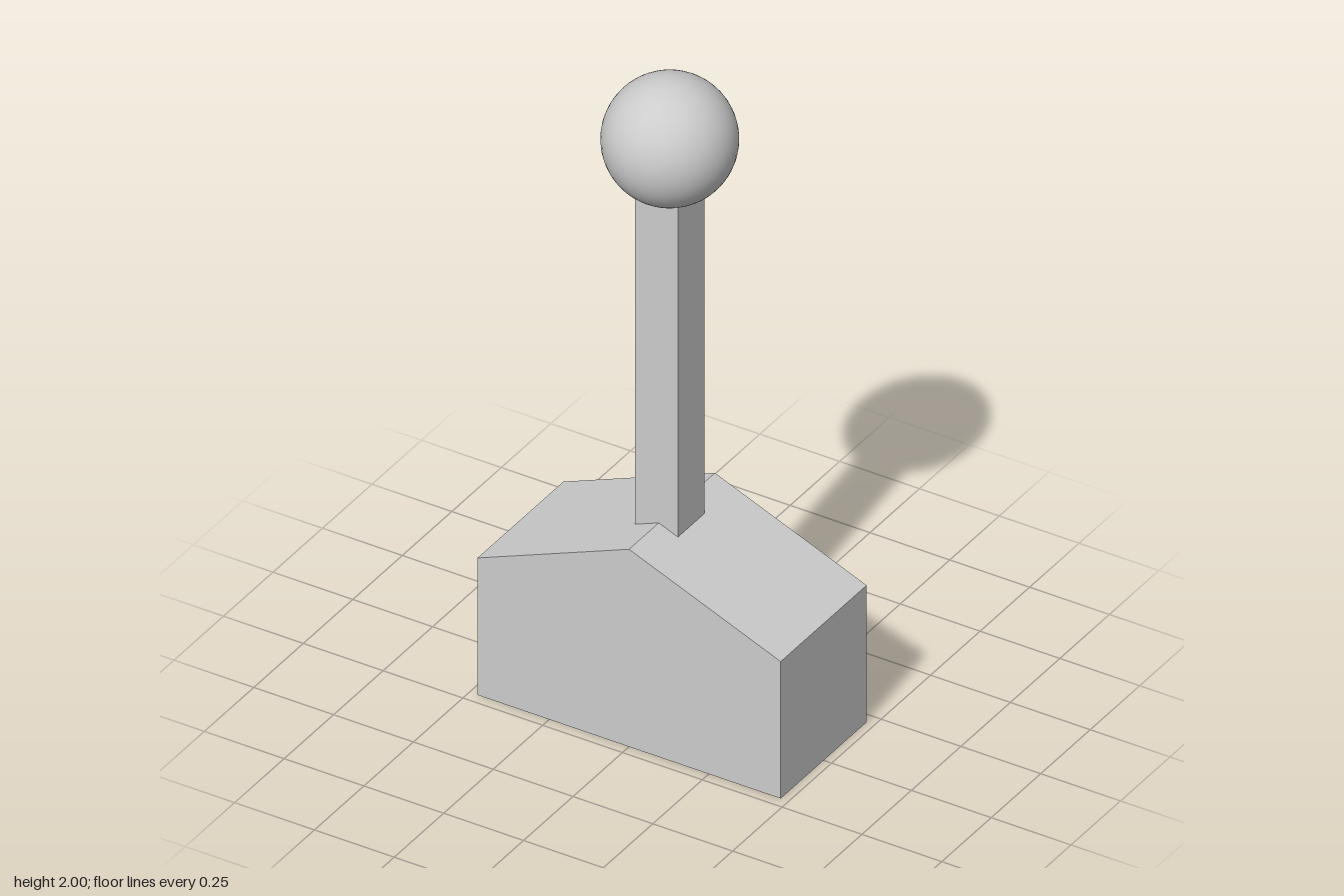
import * as THREE from 'three';

export function createModel() {
  const model = new THREE.Group();
  const add = (name, geometry, x, y, z) => {
    const material = new THREE.MeshStandardMaterial({ color: 0xcccccc });
    const mesh = new THREE.Mesh(geometry, material);
    mesh.name = name;
    mesh.position.set(x, y, z);
    model.add(mesh);
  };

  // Gabled base: a five-sided profile extruded front to back
  const w = 0.475, depth = 0.434;
  const profile = new THREE.Shape([
    new THREE.Vector2(-w, 0),
    new THREE.Vector2(w, 0),
    new THREE.Vector2(w, 0.437),
    new THREE.Vector2(0, 0.63),
    new THREE.Vector2(-w, 0.437),
  ]);
  add('base', new THREE.ExtrudeGeometry(profile, { depth, bevelEnabled: false }), 0, 0, -depth / 2);

  // Square shaft, sunk into the base and the knob
  const bottom = 0.56, top = 1.68, axisX = -0.007;
  add('shaft', new THREE.BoxGeometry(0.134, top - bottom, 0.134), axisX, (bottom + top) / 2, 0);

  // Round knob
  add('knob', new THREE.SphereGeometry(0.185, 48, 32), axisX, 1.815, 0);

  return model;
}
